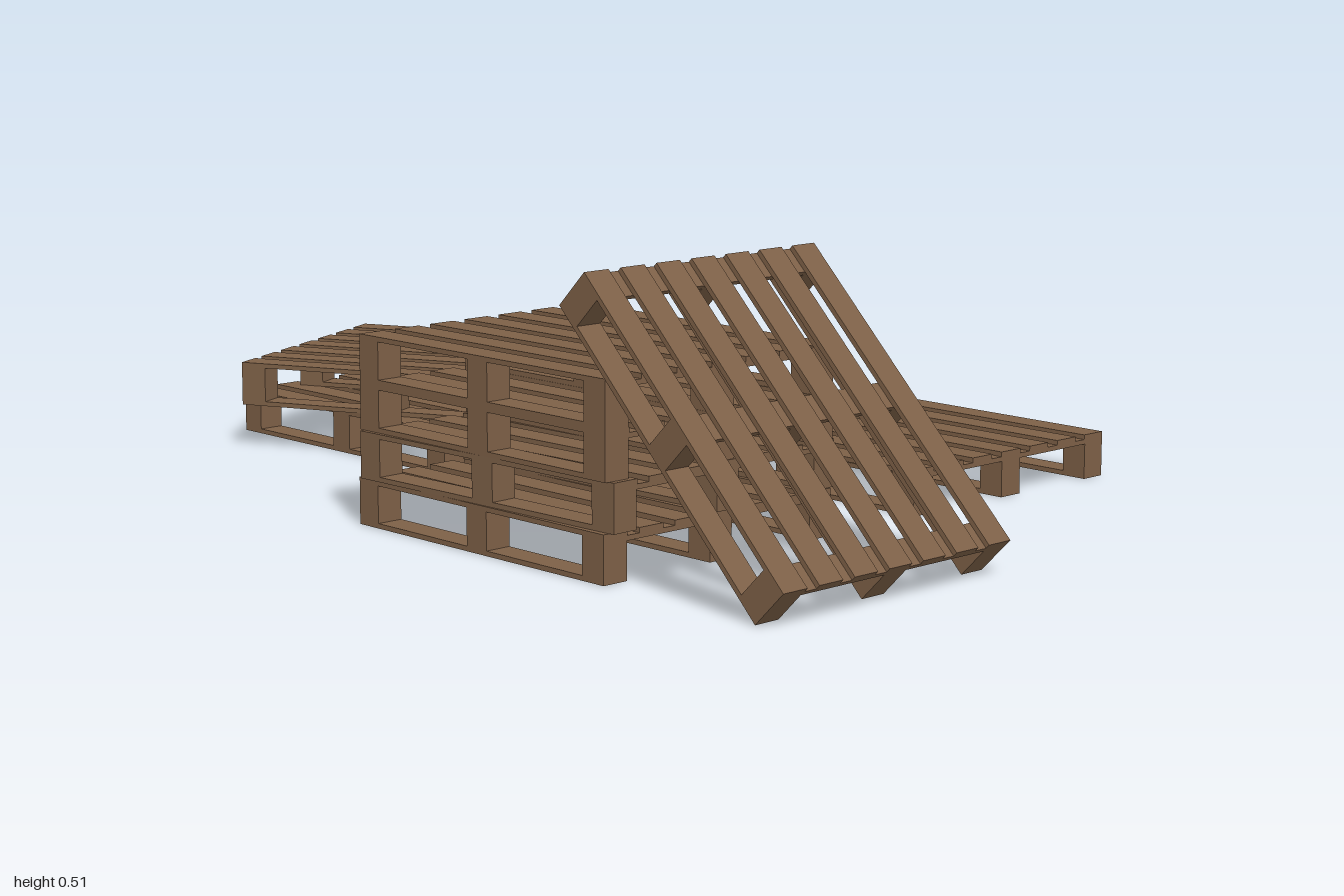
import * as THREE from 'three';

const W = 0.54, D = 0.642, H = 0.086; // pallet width, depth, height
const BOARD = 0.009, SLAT = 0.054, BLOCK = 0.052;

const wood = new THREE.MeshStandardMaterial({ color: 0x7d6047 });
wood.name = 'brown wood';

function addBox(group, name, w, h, d, x, y, z) {
  const mesh = new THREE.Mesh(new THREE.BoxGeometry(w, h, d), wood);
  mesh.name = name;
  mesh.position.set(x, y, z);
  group.add(mesh);
}

function createPallet(name) {
  const pallet = new THREE.Group();
  pallet.name = name;
  const blockX = (W - BLOCK) / 2, blockZ = (D - BLOCK) / 2;
  const blockH = H - 3 * BOARD;

  for (const i of [-1, 0, 1]) {
    // runner under each row of blocks, cross board over each column
    addBox(pallet, 'bottomRunner', BLOCK, BOARD, D, i * blockX, BOARD / 2, 0);
    addBox(pallet, 'crossBoard', W, BOARD, BLOCK, 0, H - BOARD * 1.5, i * blockZ);
    for (const j of [-1, 0, 1]) {
      addBox(pallet, 'block', BLOCK, blockH, BLOCK, i * blockX, BOARD + blockH / 2, j * blockZ);
    }
  }
  // seven deck slats
  for (let i = 0; i < 7; i++) {
    const x = (i / 6 - 0.5) * (W - SLAT);
    addBox(pallet, 'deckSlat', SLAT, BOARD, D, x, H - BOARD / 2, 0);
  }
  return pallet;
}

export function createModel() {
  const model = new THREE.Group();
  model.name = 'palletPiles';

  // name, x, y, z, tilt about x, turn about y
  const layout = [
    ['stackPallet1', -0.381, 0, 0.27, 0, 0],
    ['stackPallet2', -0.378, H, 0.274, 0, 0.029],
    ['stackPallet3', -0.378, 2 * H, 0.271, 0, 0],
    ['stackPallet4', -0.378, 3 * H, 0.271, 0, 0],
    ['leaningPallet', -0.382, 0.227, 0.713, Math.PI / 4, 0],
    ['singlePallet', 0.381, 0, 0.268, 0, 0],
    ['rearLowerPallet', 0, 0, -0.596, 0, 0],
    ['rearTurnedPallet', 0, H, -0.597, 0, 0.43],
  ];
  for (const [name, x, y, z, tilt, turn] of layout) {
    const pallet = createPallet(name);
    pallet.position.set(x, y, z);
    pallet.rotation.set(tilt, turn, 0);
    model.add(pallet);
  }
  return model;
}
